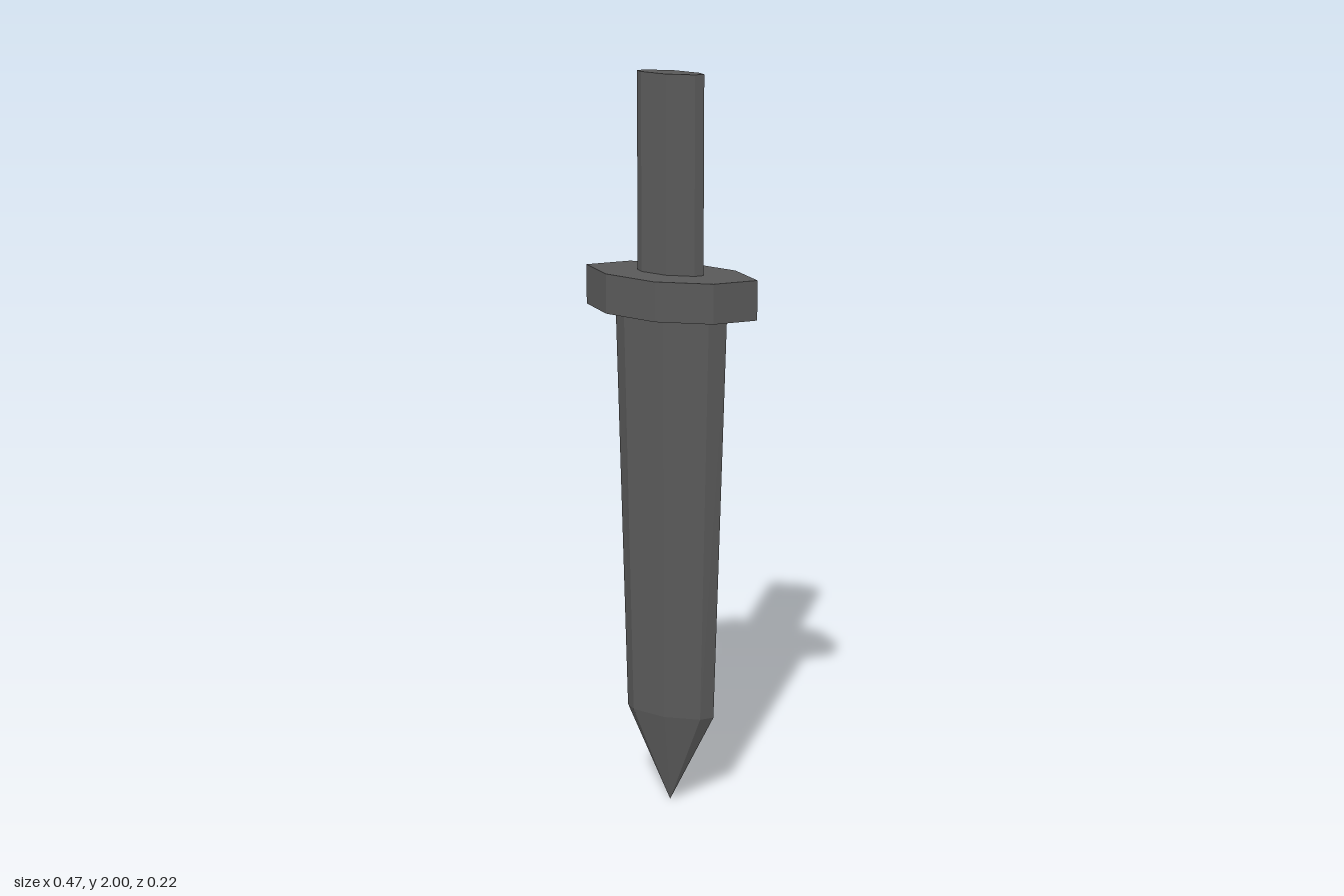
import * as THREE from 'three';

// Half-sizes of an eight-sided lens section: point x, shoulder x, shoulder z, ridge z
const HANDLE = [0.091, 0.073, 0.017, 0.032];
const GUARD = [0.237, 0.148, 0.079, 0.112];
const BLADE_TOP = [0.155, 0.118, 0.033, 0.056];
const BLADE_LOW = [0.125, 0.097, 0.027, 0.046];

const steel = new THREE.MeshStandardMaterial({ color: 0x595959 });
steel.name = 'dark grey';

// Eight-sided prism whose rings are reshaped to lens sections; no bottom section makes a point
function lens(name, y0, y1, bottom, top, zBottom = 0, zTop = 0) {
  const geo = new THREE.CylinderGeometry(1, bottom ? 1 : 0, 1, 8, 1);
  const p = geo.attributes.position;
  for (let i = 0; i < p.count; i++) {
    const isTop = p.getY(i) > 0;
    const x = p.getX(i), z = p.getZ(i);
    const section = isTop ? top : bottom;
    let nx = 0, nz = 0;
    if (section && Math.hypot(x, z) > 0.5) {
      const [px, sx, sz, rz] = section;
      const ax = Math.abs(x), az = Math.abs(z);
      if (ax > 0.9) nx = Math.sign(x) * px;
      else if (az > 0.9) nz = Math.sign(z) * rz;
      else {
        nx = Math.sign(x) * sx;
        nz = Math.sign(z) * sz;
      }
    }
    p.setXYZ(i, nx, isTop ? y1 : y0, nz + (isTop ? zTop : zBottom));
  }
  const flat = geo.toNonIndexed();
  flat.computeVertexNormals();
  const mesh = new THREE.Mesh(flat, steel);
  mesh.name = name;
  return mesh;
}

export function createModel() {
  const dagger = new THREE.Group();
  dagger.name = 'dagger';
  dagger.add(
    lens('handle', 1.48, 2, HANDLE, HANDLE, 0.003, 0.003),
    lens('guard', 1.38, 1.485, GUARD, GUARD),
    lens('blade', 0.262, 1.385, BLADE_LOW, BLADE_TOP, 0.003, 0),
    lens('bladeTip', 0, 0.262, null, BLADE_LOW, 0.005, 0.003),
  );
  return dagger;
}
